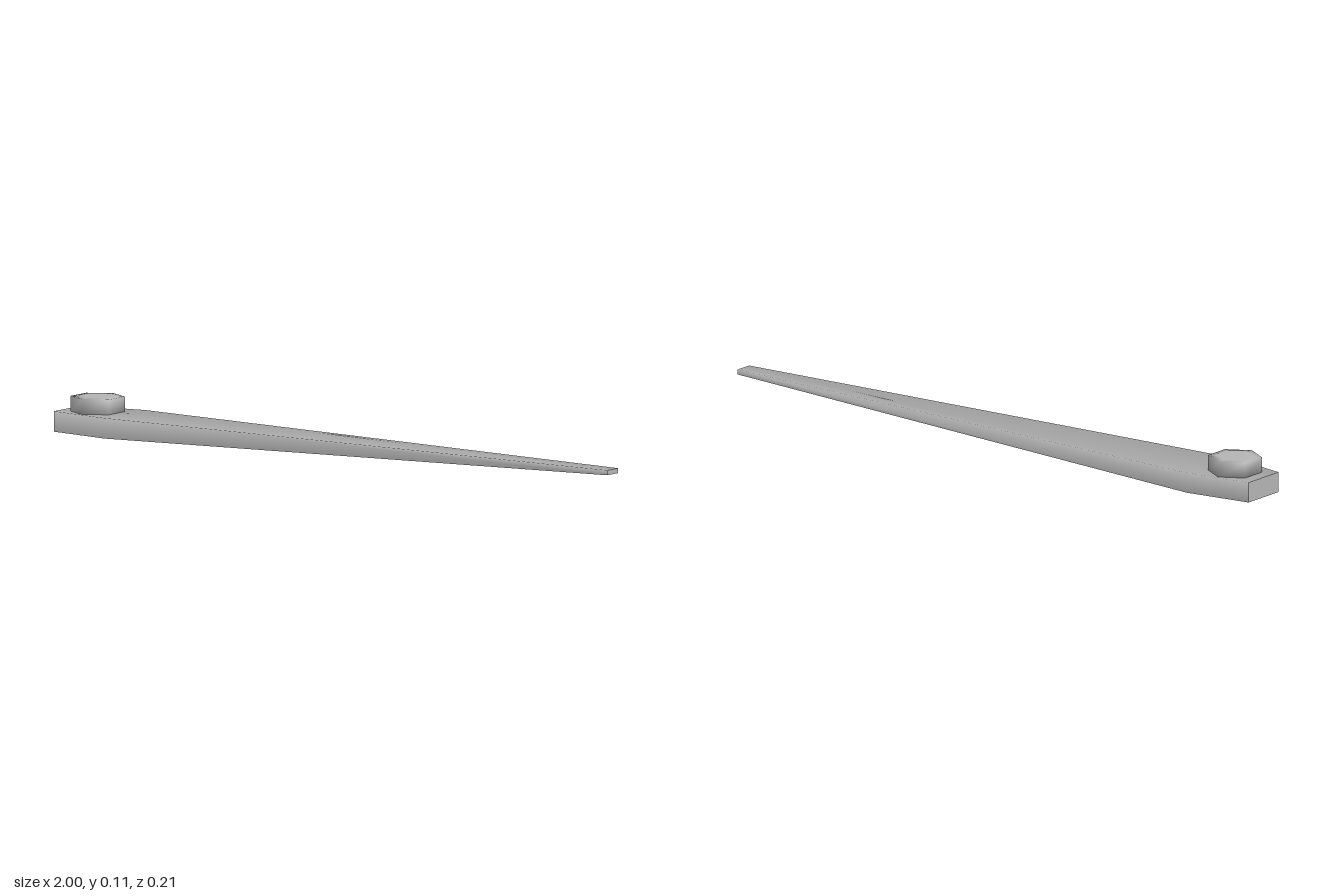
import * as THREE from 'three';

// Skin a list of equal-length rings, sharing vertices so shading stays smooth
function loft(rings, closed) {
  const n = rings[0].length, index = [];
  for (let r = 0; r < rings.length - 1; r++) {
    for (let i = 0; i < (closed ? n : n - 1); i++) {
      const a = r * n + i, b = r * n + (i + 1) % n;
      index.push(a, b, b + n, a, b + n, a + n);
    }
  }
  if (closed) {
    const e = (rings.length - 1) * n;
    for (let i = 1; i < n - 1; i++) index.push(0, i + 1, i, e, e + i, e + i + 1);
  }
  const g = new THREE.BufferGeometry();
  g.setAttribute('position', new THREE.Float32BufferAttribute(rings.flat(2), 3));
  g.setIndex(index);
  g.computeVertexNormals();
  return g;
}

export function createModel() {
  const group = new THREE.Group();
  group.name = 'taperedHand';
  const grey = new THREE.MeshStandardMaterial({ color: 0xb4b4b4, side: THREE.DoubleSide });
  grey.name = 'grey';
  const add = (name, geometry) => {
    const mesh = new THREE.Mesh(geometry, grey);
    mesh.name = name;
    group.add(mesh);
    return mesh;
  };

  // Blade: a hollow channel, open underneath; sections [x, bottom, top, half width]
  const sections = [
    [-1, 0, 0.062, 0.072],
    [-0.79, 0, 0.062, 0.106],
    [1, 0.025, 0.04, 0.028],
  ];
  const rings = sections.map(([x, lo, hi, w]) =>
    [[x, lo, -w], [x, hi, -w], [x, hi, w], [x, lo, w]]);
  const shell = loft(rings, false);

  // Soft shading that rolls from the walls over the top
  const s = Math.SQRT1_2;
  const soft = [[0, 0, -1], [0, s, -s], [0, s, s], [0, 0, 1]];
  shell.setAttribute('normal',
    new THREE.Float32BufferAttribute(rings.flatMap(() => soft.flat()), 3));
  add('blade', shell);

  // Flat walls closing the wide end and the tip
  [[sections[0], -1, 'buttWall'], [sections[2], 1, 'tipWall']].forEach(([[x, lo, hi, w], dir, name]) => {
    const wall = add(name, new THREE.PlaneGeometry(2 * w, hi - lo));
    wall.rotation.y = dir * Math.PI / 2;
    wall.position.set(x, (lo + hi) / 2, 0);
  });

  // Hexagonal nut seated on the wide end, its top edge slightly eased
  const profile = [[0.082, 0.058], [0.082, 0.108], [0.058, 0.11]];
  const hexRings = profile.map(([r, y]) => Array.from({ length: 6 }, (_, i) => {
    const a = (i / 6) * Math.PI * 2;
    return [Math.sin(a) * r, y, Math.cos(a) * r];
  }));
  add('pivotNut', loft(hexRings, true)).position.x = -0.89;

  return group;
}
